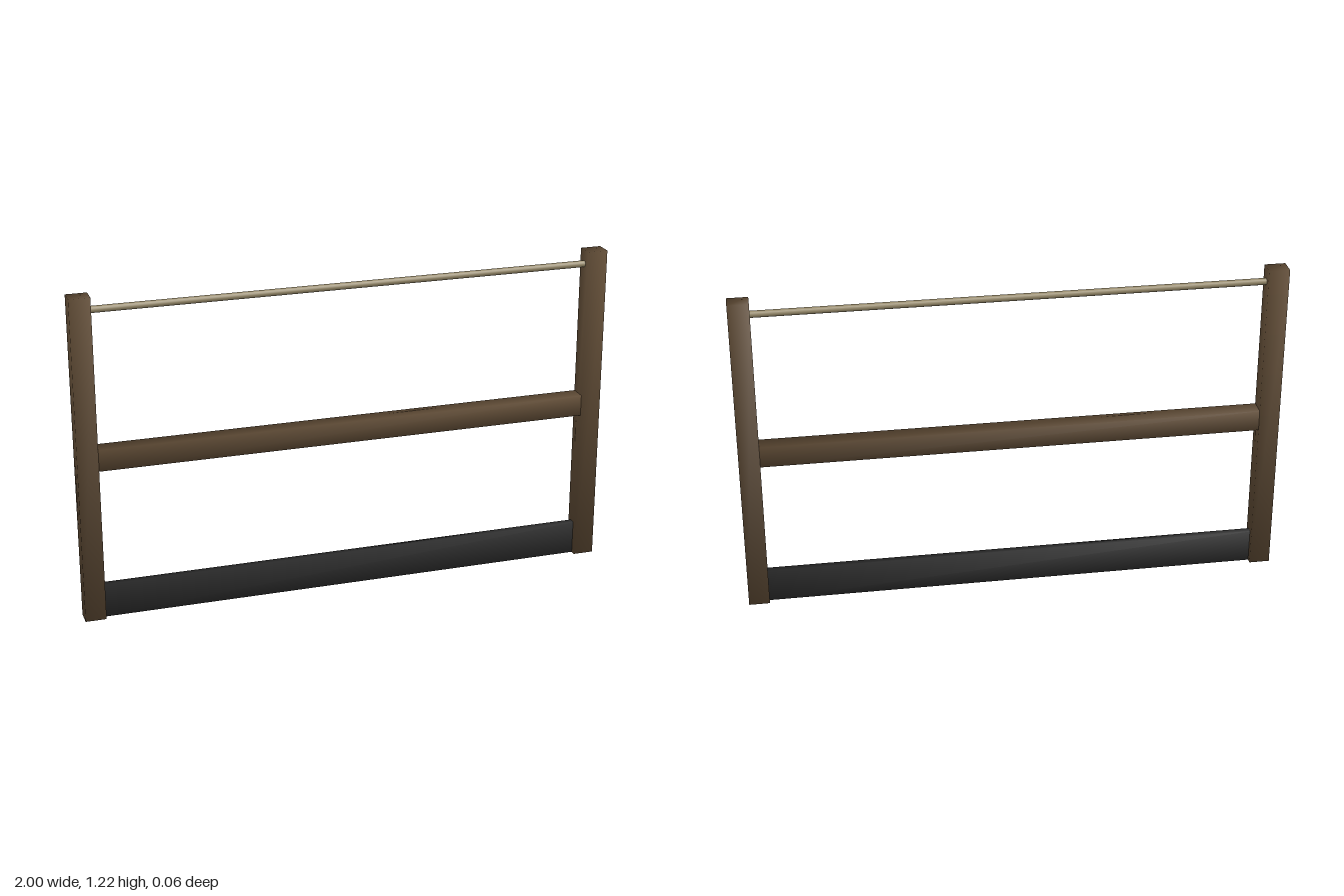
import * as THREE from 'three';

const wood = new THREE.MeshStandardMaterial({ color: 0x5e4a34 });
wood.name = 'brown wood';
const metal = new THREE.MeshStandardMaterial({ color: 0x958868 });
metal.name = 'dull brass';
const rubber = new THREE.MeshStandardMaterial({ color: 0x2b2b2b });
rubber.name = 'charcoal';

// Box whose normals blend smoothly around its corners
function softBox(name, material, size, position) {
  const geometry = new THREE.BoxGeometry(...size);
  const p = geometry.attributes.position;
  const n = geometry.attributes.normal;
  const k = 1 / Math.sqrt(3);
  for (let i = 0; i < p.count; i++) {
    n.setXYZ(i, Math.sign(p.getX(i)) * k, Math.sign(p.getY(i)) * k, Math.sign(p.getZ(i)) * k);
  }
  const mesh = new THREE.Mesh(geometry, material);
  mesh.name = name;
  mesh.position.set(...position);
  return mesh;
}

export function createModel() {
  const group = new THREE.Group();
  group.name = 'railing';

  // End posts
  for (const [name, side] of [['leftPost', 1], ['rightPost', -1]]) {
    group.add(softBox(name, wood, [0.077, 1.22, 0.064], [side * 0.9615, 0.61, 0]));
  }

  // Middle rail, let into the posts
  group.add(softBox('middleRail', wood, [1.92, 0.08, 0.063], [0, 0.619, 0]));

  // Thin kick board along the ground
  group.add(softBox('kickBoard', rubber, [1.92, 0.129, 0.022], [0, 0.0645, 0]));

  // Round top bar
  const bar = new THREE.Mesh(new THREE.CylinderGeometry(0.0125, 0.0125, 1.92, 16), metal);
  bar.name = 'topBar';
  bar.rotation.z = Math.PI / 2;
  bar.position.y = 1.168;
  group.add(bar);

  return group;
}
